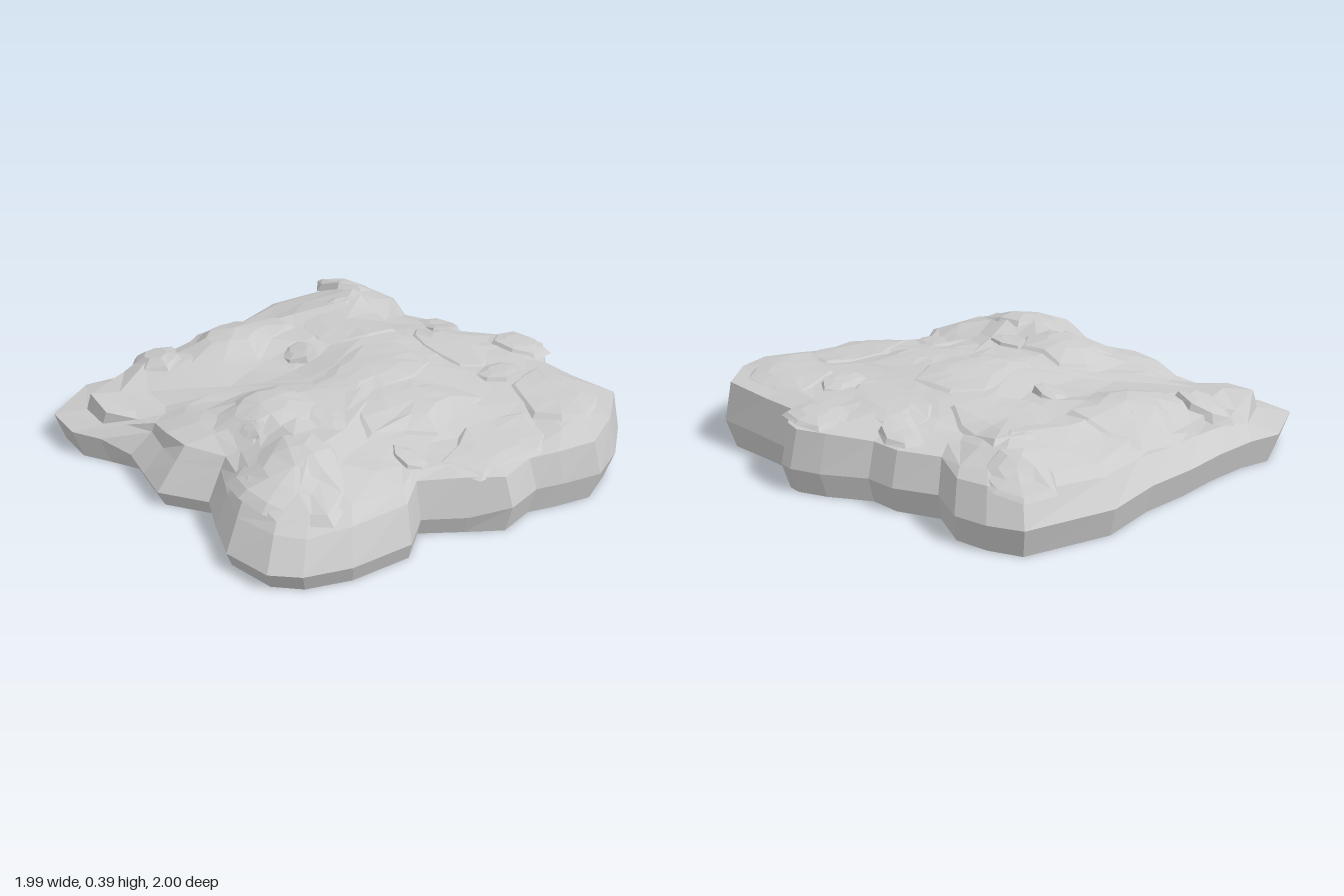
import * as THREE from 'three';

// plan outline (x, z), clockwise seen from above, starting at the back left
const OUTLINE = [
  [-0.99, -0.83], [-0.75, -0.96], [-0.6, -0.93], [-0.4, -0.93], [-0.2, -0.95], [0.03, -0.95], [0.3, -1], [0.69, -0.9],
  [0.76, -0.76], [0.79, -0.61], [0.71, -0.42], [0.8, -0.24], [0.81, -0.1], [0.93, 0.07], [0.99, 0.19], [0.99, 0.25],
  [0.88, 0.38], [0.89, 0.55], [0.91, 0.78], [0.75, 0.92], [0.58, 1], [0.41, 0.96], [0.29, 0.92], [0.12, 0.96],
  [-0.03, 0.86], [-0.19, 0.75], [-0.33, 0.86], [-0.61, 0.84], [-0.8, 0.77], [-0.9, 0.67], [-0.94, 0.45], [-0.87, 0.27],
  [-0.79, 0.1], [-0.92, -0.09], [-0.89, -0.25], [-0.86, -0.4], [-0.93, -0.53], [-1, -0.65],
];

// spot heights (x, z, y) that shape the upper surface
const SPOTS = [
  [-0.5, 0.4, 0.4], [-0.7, 0.4, 0.33], [-0.55, 0.66, 0.3], [-0.33, 0.58, 0.32], [-0.2, 0.3, 0.345], [-0.45, 0.02, 0.38],
  [-0.65, -0.1, 0.31], [-0.5, -0.32, 0.28], [0.1, 0.1, 0.38], [0.1, 0.35, 0.36], [0, 0.65, 0.28], [0.3, 0.75, 0.29],
  [0.6, 0.75, 0.33], [0.75, 0.5, 0.33], [0.5, 0.35, 0.34], [0.86, 0.2, 0.33], [0.6, 0, 0.34], [0.3, -0.1, 0.36],
  [0.5, -0.65, 0.36], [0.2, -0.6, 0.33], [-0.15, -0.65, 0.355], [-0.15, -0.35, 0.3], [0.15, -0.35, 0.34],
  [-0.5, -0.72, 0.31], [-0.78, -0.65, 0.26], [-0.77, -0.2, 0.27], [0.68, -0.3, 0.3], [0, -0.87, 0.27], [0.35, -0.88, 0.27],
  [-0.13, 0.62, 0.27], [-0.12, 0.48, 0.3],
].map((s) => [...s, 1]);

// sloping shoulder at the top of the rim; it also pulls the nearby surface down
const SHOULDER = OUTLINE.map(([x, z]) => {
  const s = 0.93 + 0.03 * x + 0.02 * z;
  return [x * s, z * s, 0.235 + 0.05 * x + 0.025 * z];
});
SHOULDER.forEach((s) => SPOTS.push([...s, 0.25]));

function heightAt(x, z) {
  let sum = 0, total = 0;
  for (const [sx, sz, sy, weight] of SPOTS) {
    const w = weight / (((x - sx) ** 2 + (z - sz) ** 2) ** 2 + 0.0002);
    sum += w * sy;
    total += w;
  }
  return sum / total;
}

function seeded(seed) {
  return () => {
    seed = (seed * 16807) % 2147483647;
    return seed / 2147483647;
  };
}

// point at fraction t around the closed outline
function outlineAt(t) {
  const f = t * OUTLINE.length, n = OUTLINE.length;
  const a = OUTLINE[Math.floor(f) % n], b = OUTLINE[(Math.floor(f) + 1) % n], k = f % 1;
  return [a[0] + (b[0] - a[0]) * k, a[1] + (b[1] - a[1]) * k];
}

// joins consecutive rings, which may have different point counts
function stitchRings(rings) {
  const out = [];
  for (let r = 0; r + 1 < rings.length; r++) {
    const a = rings[r], b = rings[r + 1], n = a.length, m = b.length;
    const steps = m > 1 ? m : 0;
    let i = 0, j = 0;
    while (i < n || j < steps) {
      if (j >= steps || (i < n && (i + 1) / n <= (j + 1) / m)) {
        out.push(...a[i % n], ...b[j % m], ...a[(i + 1) % n]);
        i++;
      } else {
        out.push(...a[i % n], ...b[j % m], ...b[(j + 1) % m]);
        j++;
      }
    }
  }
  const geometry = new THREE.BufferGeometry();
  geometry.setAttribute('position', new THREE.Float32BufferAttribute(out, 3));
  geometry.computeVertexNormals();
  return geometry;
}

export function createModel() {
  const group = new THREE.Group();
  const material = new THREE.MeshStandardMaterial({ color: 0xcccccc, flatShading: true, side: THREE.DoubleSide });
  const add = (name, geometry) => {
    const mesh = new THREE.Mesh(geometry, material);
    mesh.name = name;
    group.add(mesh);
  };

  // main shell: open underneath, steep rim, uneven top
  const rand = seeded(41);
  const rings = [
    OUTLINE.map(([x, z]) => [x * 0.965, 0, z * 0.965]),
    OUTLINE.map(([x, z]) => [x, (x < 0 && z > -0.5 ? 0.07 : 0.11) + 0.02 * Math.abs(z), z]),
    SHOULDER.map(([x, z, y]) => [x, y + (rand() - 0.5) * 0.02, z]),
  ];
  for (const [count, scale] of [[38, 0.86], [36, 0.76], [32, 0.65], [27, 0.53], [21, 0.4], [14, 0.26], [7, 0.12]]) {
    rings.push(Array.from({ length: count }, (_, i) => {
      const [x, z] = outlineAt(i / count);
      const s = scale + (rand() - 0.5) * 0.05;
      return [x * s, heightAt(x * s, z * s) + (rand() - 0.5) * 0.012, z * s];
    }));
  }
  rings.push([[0, heightAt(0, 0), 0]]);
  add('rockShell', stitchRings(rings));

  // tilted slabs that sink into the top on one side and break off in a ledge on the other
  const ledge = (name, cx, cz, rx, rz, lift, facing, seed) => {
    const rnd = seeded(seed * 997);
    const sides = rx > 0.15 ? 11 : 7;
    const wobble = Array.from({ length: sides }, () => 0.8 + rnd() * 0.35);
    const layer = (scale, rise) => wobble.map((w, i) => {
      const a = (i / sides) * Math.PI * 2;
      const x = cx + Math.cos(a) * rx * w * scale, z = cz + Math.sin(a) * rz * w * scale;
      return [x, heightAt(x, z) + rise(Math.cos(a - facing)), z];
    });
    add(name, stitchRings([
      layer(1, () => -0.015),
      layer(0.84, (c) => lift * (0.4 + 0.6 * c)),
      layer(0.45, (c) => lift * (0.8 + 0.2 * c)),
      [[cx, heightAt(cx, cz) + lift * 0.8, cz]],
    ]));
  };
  const right = 0, front = Math.PI / 2, left = Math.PI, back = -Math.PI / 2;
  const slabs = [
    [-0.13, -0.64, 0.32, 0.24, 0.02, 0.8], [0.1, 0.03, 0.36, 0.24, 0.01, right], [-0.45, 0, 0.26, 0.24, 0.015, right],
    [0.1, 0.36, 0.32, 0.22, 0.018, 2.2], [-0.6, 0.45, 0.26, 0.28, 0.006, right], [0.33, -0.42, 0.26, 0.28, 0.012, 0.9],
    [0.66, 0.64, 0.22, 0.24, 0.012, left], [0.57, 0.05, 0.18, 0.26, 0.012, left], [0.22, 0.74, 0.28, 0.16, 0.012, back],
  ];
  slabs.forEach((s, i) => ledge('slab', ...s, i + 3));
  const stones = [
    [-0.5, -0.75, 0.12, 0.16, 0.025, right], [-0.01, -0.33, 0.09, 0.1, 0.035, front], [0.6, -0.76, 0.14, 0.17, 0.015, left],
    [0.84, 0.2, 0.12, 0.15, 0.015, left], [-0.55, 0.08, 0.07, 0.08, 0.01, front], [0.68, -0.16, 0.1, 0.13, 0.018, front],
    [0.57, 0.36, 0.14, 0.1, 0.018, front], [-0.28, 0.22, 0.09, 0.14, 0.018, right], [-0.12, 0.6, 0.07, 0.11, 0.015, left],
  ];
  stones.forEach((s, i) => ledge('stone', ...s, i + 31));
  return group;
}
